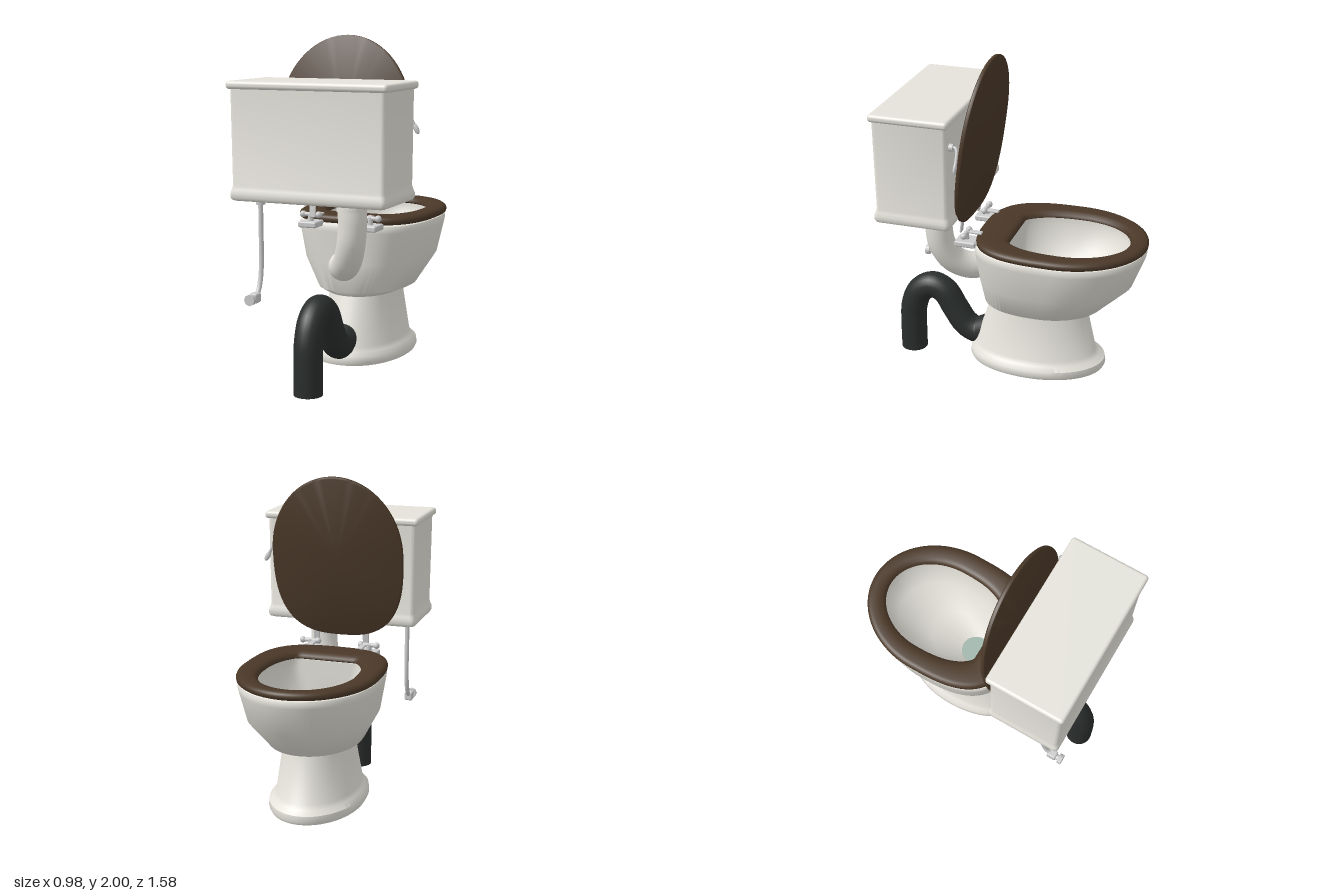
import * as THREE from 'three';
import { toCreasedNormals } from 'three/addons/utils/BufferGeometryUtils.js';
import { RoundedBoxGeometry } from 'three/addons/geometries/RoundedBoxGeometry.js';

const V = (x, y, z) => new THREE.Vector3(x, y, z);
const mat = (color, side = THREE.FrontSide) => new THREE.MeshStandardMaterial({ color, side });

// Egg-shaped ring: half ellipse toward -z, squarer half toward +z
function egg(y, w, front, back, mid = -0.3, n = 3, limit = 9) {
  const pts = [];
  for (let j = 0; j < 72; j++) {
    const a = (j / 72) * Math.PI * 2;
    let c = Math.cos(a), s = Math.sin(a);
    if (s < 0) {
      c = Math.sign(c) * Math.abs(c) ** (2 / n);
      s = -(Math.abs(s) ** (2 / n));
    }
    const z = mid - s * (s > 0 ? mid - front : back - mid);
    pts.push(V(w * c, y, Math.min(z, limit)));
  }
  return pts;
}

// Rectangle ring with rounded corners
function roundRect(y, hw, hd, zc, r = 0.025) {
  const pts = [];
  [[1, -1], [-1, -1], [-1, 1], [1, 1]].forEach(([sx, sz], k) => {
    for (let i = 0; i <= 5; i++) {
      const a = (k + i / 5) * Math.PI / 2;
      pts.push(V(sx * (hw - r) + r * Math.cos(a), y, zc + sz * (hd - r) - r * Math.sin(a)));
    }
  });
  return pts;
}

// Skin a list of rings, optionally closing the ends
function loft(rings, { start = false, end = false, crease = 0.7 } = {}) {
  const centre = (ring) => {
    const c = ring.reduce((s, p) => s.add(p), V(0, 0, 0)).divideScalar(ring.length);
    return ring.map(() => c);
  };
  const all = [...rings];
  if (start) all.unshift(centre(rings[0]));
  if (end) all.push(centre(rings[rings.length - 1]));
  const n = all[0].length, idx = [];
  for (let i = 0; i < all.length - 1; i++) {
    for (let j = 0; j < n; j++) {
      const k = (j + 1) % n, a = i * n + j, b = i * n + k, c = a + n, d = b + n;
      if (!(start && i === 0)) idx.push(a, b, d);
      if (!(end && i === all.length - 2)) idx.push(a, d, c);
      else idx.push(a, b, c);
      if (start && i === 0) idx.push(a, d, c);
    }
  }
  const g = new THREE.BufferGeometry().setFromPoints(all.flat());
  g.setIndex(idx);
  return toCreasedNormals(g, crease);
}

const tube = (pts, r, segs = 48) =>
  new THREE.TubeGeometry(new THREE.CatmullRomCurve3(pts.map((p) => V(...p))), segs, r, 24);

export function createModel() {
  const model = new THREE.Group();
  const porcelain = mat(0xe4e2da), wood = mat(0x4a3828), metal = mat(0xcccccc);
  const rubber = mat(0x2a2e2d, THREE.DoubleSide), water = mat(0x9fb5ac);

  const add = (name, geo, material, pos = [0, 0, 0], rot = [0, 0, 0], parent = model) => {
    const m = new THREE.Mesh(geo, material);
    m.name = name;
    m.position.set(...pos);
    m.rotation.set(...rot);
    parent.add(m);
    return m;
  };
  const cyl = (r1, r2, h, n = 24) => new THREE.CylinderGeometry(r1, r2, h, n);

  // Bowl and hollow pedestal as one skin: inside of foot, outside, rim, basin
  add('bowl', loft([
    egg(0.44, 0.16, -0.39, 0.13, -0.13, 2.2),
    egg(0.17, 0.2, -0.45, 0.23, -0.13, 2.2),
    egg(0.11, 0.24, -0.51, 0.26, -0.13, 2.2),
    egg(0.065, 0.245, -0.515, 0.265, -0.13, 2.2),
    egg(0.065, 0.275, -0.545, 0.295, -0.13, 2.2),
    egg(0.085, 0.285, -0.555, 0.303, -0.13, 2.2),
    egg(0.12, 0.282, -0.55, 0.3, -0.13, 2.2),
    egg(0.145, 0.258, -0.515, 0.28, -0.13, 2.2),
    egg(0.17, 0.243, -0.492, 0.27, -0.13, 2.2),
    egg(0.455, 0.203, -0.43, 0.17, -0.13, 2.2),
    egg(0.46, 0.215, -0.45, 0.18, -0.15, 2.3),
    egg(0.485, 0.275, -0.53, 0.2, -0.18, 2.5),
    egg(0.66, 0.372, -0.71, 0.215, -0.26, 2.8),
    egg(0.85, 0.405, -0.782, 0.237),
    egg(0.875, 0.409, -0.787, 0.24),
    egg(0.893, 0.402, -0.78, 0.233),
    egg(0.9, 0.385, -0.765, 0.22),
    egg(0.9, 0.3, -0.7, 0.07, -0.33, 2.6, 0.02),
    egg(0.85, 0.3, -0.7, 0.07, -0.33, 2.6, 0.02),
    egg(0.72, 0.26, -0.61, 0.05, -0.29, 2.5, 0.02),
    egg(0.58, 0.17, -0.38, 0.03, -0.18, 2.2),
    egg(0.51, 0.1, -0.19, 0.02, -0.08, 2),
    egg(0.48, 0.07, -0.15, 0, -0.08, 2),
  ], { start: true, end: true }), porcelain);
  add('water', loft([egg(0.515, 0.09, -0.172, 0.012, -0.08, 2), egg(0.52, 0.088, -0.17, 0.01, -0.08, 2)],
    { end: true }), water);
  for (const s of [-1, 1]) add('footBolt', cyl(0.018, 0.018, 0.05, 12), metal, [s * 0.215, 0.1, -0.15]);

  // Seat ring: rounded outer edge, dished inner edge
  const hole = (y, o) => egg(y, 0.28 + o, -0.685 - o, 0.06 + o, -0.33, 2.6, 0.01 + o);
  const outer = (y, o) => egg(y, 0.417 - o, -0.793 + o, 0.225 - o);
  add('seat', loft([
    hole(0.902, 0.012), outer(0.9, 0.012), outer(0.908, 0.002), outer(0.922, 0), outer(0.935, 0.005),
    outer(0.944, 0.018), outer(0.947, 0.035), hole(0.945, 0.04), hole(0.938, 0.018), hole(0.925, 0.003),
    hole(0.91, 0), hole(0.902, 0.012),
  ], { crease: 1 }), wood);

  // Raised lid, leaning back toward the tank
  const lidRing = (y, o) => egg(y, 0.415 - o, -1.008 + o, -o, -0.53, 2.8);
  add('lid', loft([
    lidRing(0, 0.012), lidRing(0.006, 0.002), lidRing(0.015, 0), lidRing(0.024, 0.002), lidRing(0.03, 0.012),
  ], { start: true, end: true }), wood, [0, 1, 0.275], [1.435, 0, 0]);

  // Hinges
  for (const s of [-1, 1]) {
    const hinge = new THREE.Group();
    hinge.name = 'hinge';
    hinge.position.x = s * 0.19;
    model.add(hinge);
    const part = (name, geo, pos, rot) => add(name, geo, metal, pos, rot, hinge);
    part('hingePlate', new RoundedBoxGeometry(0.115, 0.036, 0.13, 3, 0.01), [0, 0.898, 0.265]);
    part('hingeTongue', new RoundedBoxGeometry(0.08, 0.018, 0.09, 2, 0.006), [0, 0.902, 0.195]);
    part('hingePost', cyl(0.015, 0.018, 0.05), [0, 0.935, 0.27]);
    part('hingePin', cyl(0.013, 0.013, 0.12, 16), [0, 0.953, 0.27], [0, 0, Math.PI / 2]);
    part('seatArm', new RoundedBoxGeometry(0.035, 0.014, 0.08, 2, 0.005), [-s * 0.03, 0.95, 0.22]);
    part('lidArm', new RoundedBoxGeometry(0.04, 0.1, 0.012, 2, 0.005), [-s * 0.03, 0.992, 0.306], [-0.13, 0, 0]);
    for (const e of [-1, 1]) part('hingeKnob', new THREE.SphereGeometry(0.02, 16, 12), [e * 0.05, 0.953, 0.27]);
  }

  // Cistern with moulded foot, and its cover
  const tankRing = (y, hw, hd) => roundRect(y, hw, hd, 0.508);
  add('tank', loft([
    tankRing(1.08, 0.455, 0.212), tankRing(1.086, 0.468, 0.225), tankRing(1.1, 0.475, 0.232),
    tankRing(1.125, 0.475, 0.232), tankRing(1.145, 0.468, 0.226), tankRing(1.165, 0.463, 0.22),
    tankRing(1.72, 0.469, 0.224),
  ], { start: true, end: true }), porcelain);
  add('tankCover', new RoundedBoxGeometry(0.976, 0.046, 0.48, 4, 0.02), porcelain, [0, 1.73, 0.507]);

  // Flush lever on the bowl side of the cistern
  add('leverBoss', cyl(0.022, 0.022, 0.03), metal, [0.4, 1.58, 0.275], [Math.PI / 2, 0, 0]);
  add('flushLever', tube([[0.4, 1.58, 0.28], [0.4, 1.58, 0.25], [0.41, 1.565, 0.238], [0.44, 1.51, 0.234],
    [0.462, 1.475, 0.234]], 0.009), metal);
  const grip = add('leverGrip', new THREE.SphereGeometry(0.018, 16, 12), metal, [0.455, 1.48, 0.234], [0, 0, 0.5]);
  grip.scale.set(0.9, 2, 0.6);

  // Flush pipe and its collar
  add('flushPipe', tube([[0.155, 1.08, 0.455], [0.16, 0.95, 0.455], [0.145, 0.83, 0.44], [0.1, 0.72, 0.385],
    [0.045, 0.665, 0.31], [0.005, 0.655, 0.25], [0, 0.67, 0.16]], 0.083), porcelain);
  [[0.086, 1.03], [0.078, 1.048], [0.09, 1.068]].forEach(([r, y]) =>
    add('pipeCollar', cyl(r, r, 0.022, 32), porcelain, [0.155, y, 0.455]));

  // Water supply with stop valve
  add('supplyPipe', tube([[-0.35, 1.09, 0.595], [-0.35, 0.9, 0.593], [-0.35, 0.72, 0.592], [-0.35, 0.62, 0.605],
    [-0.35, 0.55, 0.635], [-0.35, 0.525, 0.67]], 0.014), metal);
  add('supplyNut', cyl(0.027, 0.027, 0.035, 6), metal, [-0.35, 1.064, 0.595]);
  add('valveBody', new RoundedBoxGeometry(0.05, 0.056, 0.06, 3, 0.01), metal, [-0.35, 0.52, 0.675]);
  add('valveStem', cyl(0.018, 0.018, 0.05), metal, [-0.35, 0.518, 0.715], [Math.PI / 2, 0, 0]);
  add('valveCap', cyl(0.033, 0.033, 0.026, 8), metal, [-0.35, 0.518, 0.733], [Math.PI / 2, 0, 0]);

  // Waste pipe with flared end at the pedestal
  add('wastePipe', tube([[0, 0, 0.708], [0, 0.15, 0.708], [0, 0.3, 0.7], [0, 0.41, 0.655], [0, 0.462, 0.57],
    [0, 0.43, 0.49], [0, 0.32, 0.42], [0, 0.22, 0.35], [0, 0.185, 0.275], [0, 0.21, 0.2], [0, 0.23, 0.12]],
  0.083, 64), rubber);
  add('wasteSleeve', new THREE.CylinderGeometry(0.097, 0.085, 0.07, 32, 1, true), rubber,
    [0, 0.2, 0.222], [-Math.PI / 2 + 0.3, 0, 0]);
  return model;
}
